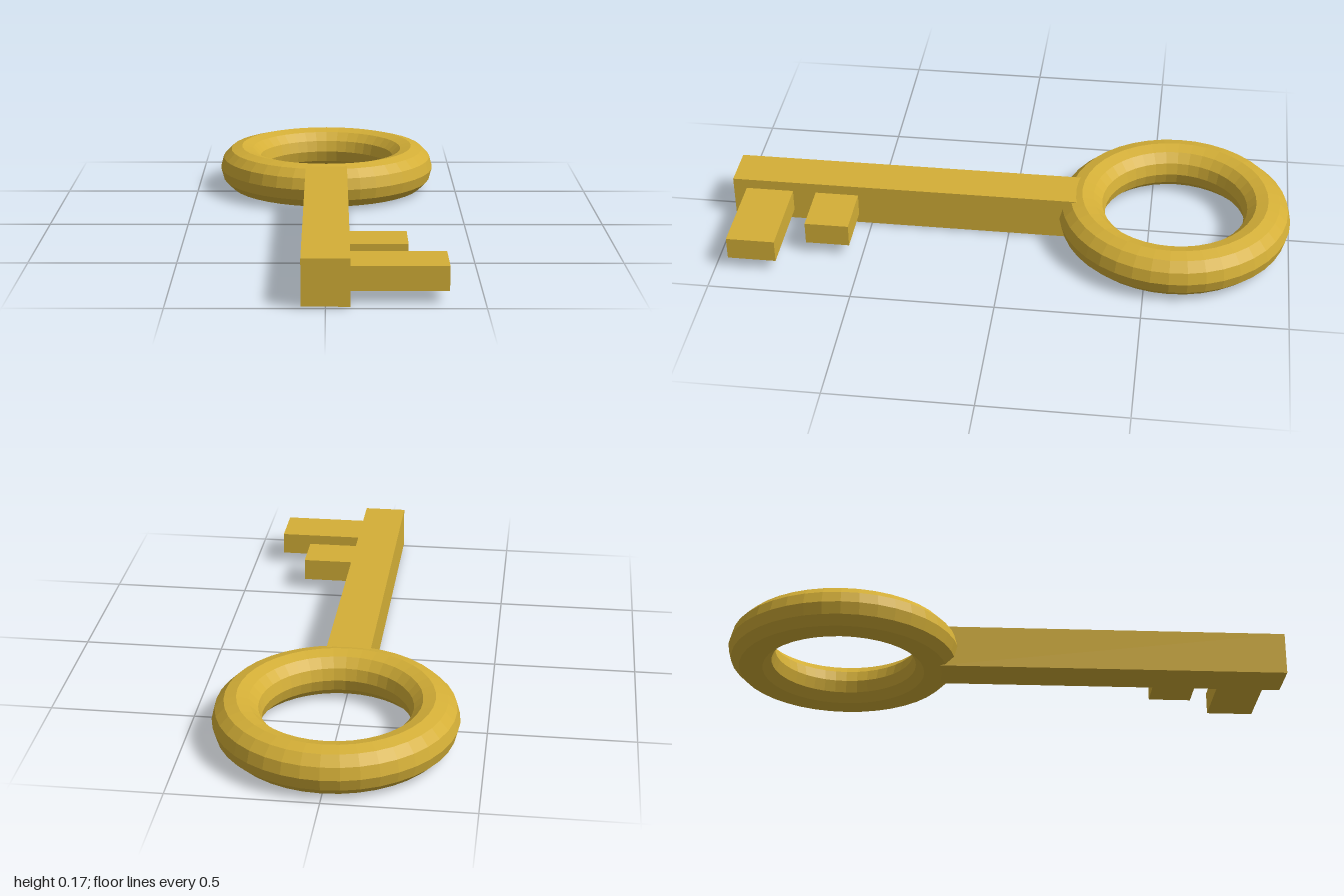
import * as THREE from 'three';

export function createModel() {
  const key = new THREE.Group();
  key.name = 'key';
  const brass = new THREE.MeshStandardMaterial({ color: 0xd4af37, flatShading: true });
  const midY = 0.083;

  // Box given by its extents in x and z, centred on the key's mid-height
  function bar(name, x0, x1, height, z0, z1) {
    const mesh = new THREE.Mesh(new THREE.BoxGeometry(x1 - x0, height, z1 - z0), brass);
    mesh.position.set((x0 + x1) / 2, midY, (z0 + z1) / 2);
    mesh.name = name;
    key.add(mesh);
  }

  // Ring handle lying flat
  const bow = new THREE.Mesh(new THREE.TorusGeometry(0.33, 0.083, 12, 40), brass);
  bow.name = 'bow';
  bow.rotation.x = Math.PI / 2;
  bow.position.set(0, midY, -0.587);
  key.add(bow);

  // Shaft, sunk into the ring
  bar('shaft', -0.077, 0.077, 0.154, -0.25, 1);

  // Two teeth on the left side
  bar('shortTooth', 0.05, 0.268, 0.081, 0.545, 0.7);
  bar('longTooth', 0.05, 0.387, 0.081, 0.783, 0.953);

  return key;
}
